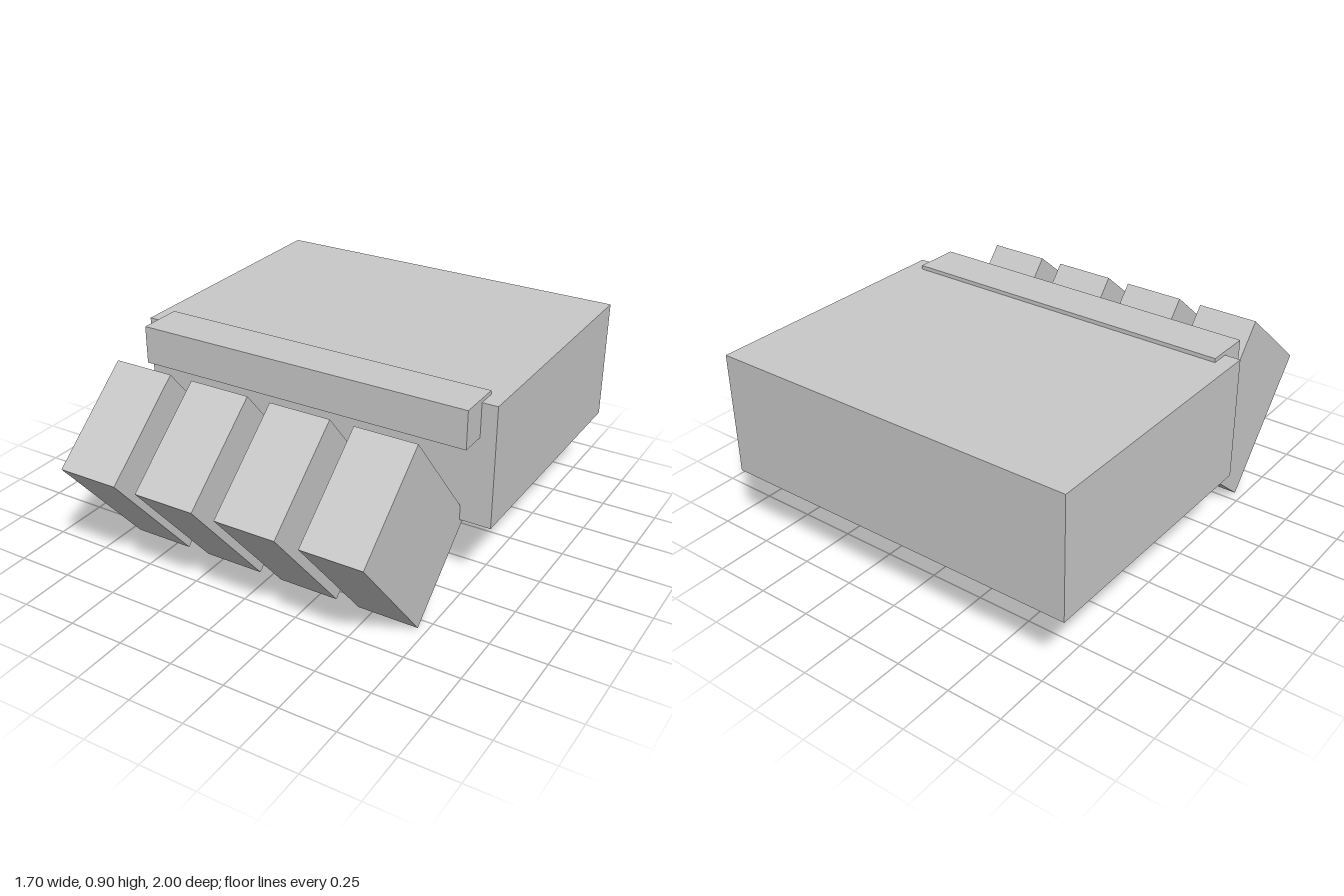
import * as THREE from 'three';

export function createModel() {
  const model = new THREE.Group();
  model.name = 'blockFist';
  const grey = new THREE.MeshStandardMaterial({ color: 0xc8c8c8 });
  grey.name = 'plain grey';

  function addBox(name, size, position, tilt = 0) {
    const mesh = new THREE.Mesh(new THREE.BoxGeometry(...size), grey);
    mesh.name = name;
    mesh.position.set(...position);
    mesh.rotation.x = tilt;
    model.add(mesh);
  }

  // Wide main block
  addBox('palm', [1.7, 0.555, 1.212], [0, 0.6075, -0.394]);

  // Raised bar along the upper front edge
  addBox('knuckleBar', [1.56, 0.172, 0.205], [0, 0.817, 0.232]);

  // Four tilted blocks in front, evenly spaced
  const tilt = THREE.MathUtils.degToRad(40);
  for (let i = 0; i < 4; i++) {
    addBox(`finger${i + 1}`, [0.276, 0.692, 0.518], [-0.574 + 0.382 * i, 0.432, 0.579], tilt);
  }

  return model;
}
